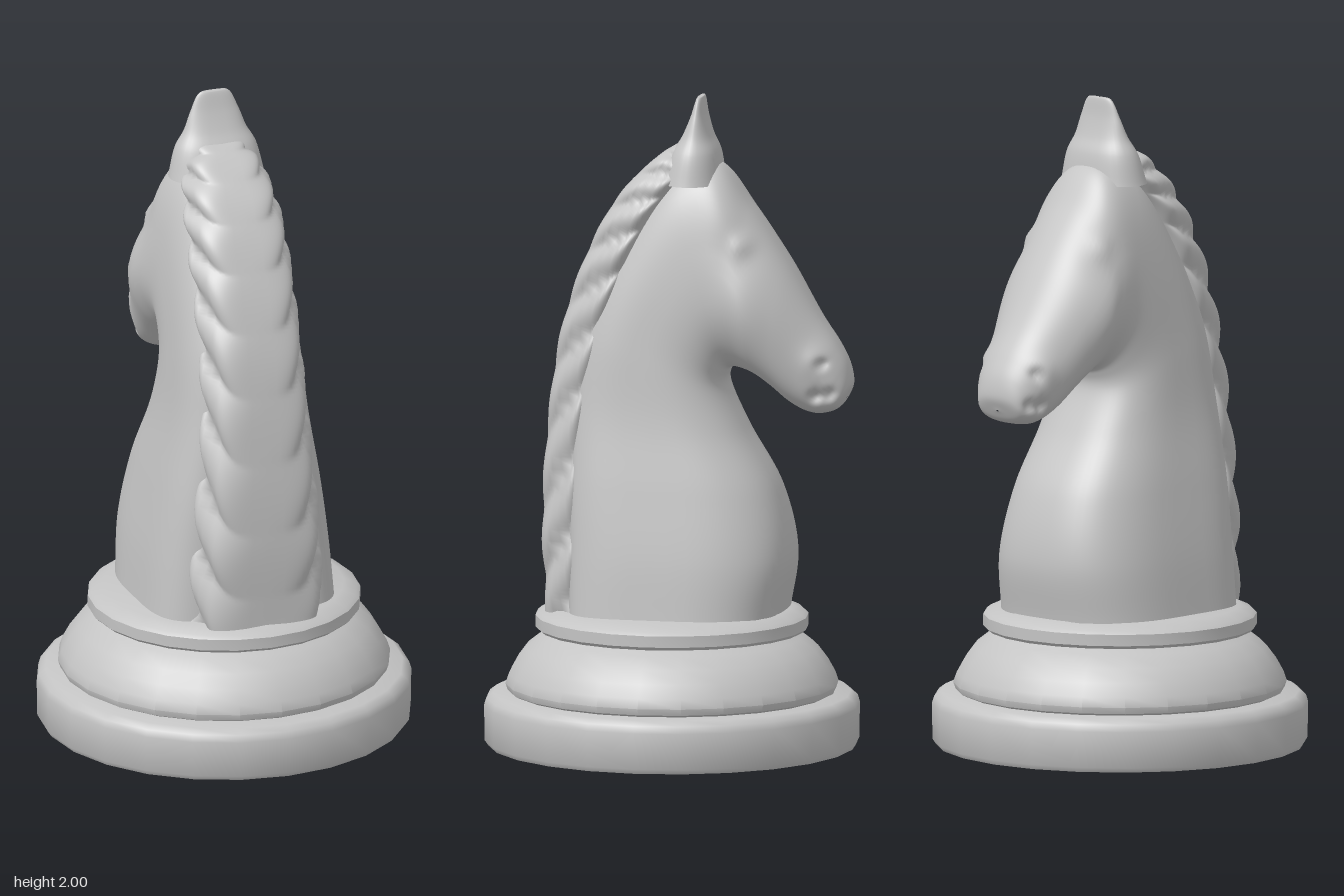
import * as THREE from 'three';
import { toCreasedNormals } from 'three/addons/utils/BufferGeometryUtils.js';

// signed power, used for squarish cross-sections
const spow = (v, e) => Math.sign(v) * Math.pow(Math.abs(v), e);
const curve = (rows) => new THREE.CatmullRomCurve3(rows.map((r) => new THREE.Vector3(...r)));

// closed skin over rings; point(t, angle) returns [x, y, z]
function loft(rings, sides, point) {
  const pos = [], index = [];
  for (let i = 0; i <= rings; i++) {
    for (let j = 0; j < sides; j++) pos.push(...point(i / rings, (j / sides) * Math.PI * 2));
  }
  for (let i = 0; i < rings; i++) {
    for (let j = 0; j < sides; j++) {
      const a = i * sides + j, b = i * sides + ((j + 1) % sides);
      index.push(a, b, a + sides, b, b + sides, a + sides);
    }
  }
  const g = new THREE.BufferGeometry();
  g.setAttribute('position', new THREE.Float32BufferAttribute(pos, 3));
  g.setIndex(index);
  g.computeVertexNormals();
  return g;
}

// small swellings and hollows on the head: [y, z, radius, amount]
const FEATURES = [
  [1.36, -0.23, 0.13, 0.1], // cheek
  [1.56, -0.26, 0.08, -0.09], // eye socket
  [1.57, -0.25, 0.032, 0.12], // eyeball
  [1.22, -0.485, 0.045, 0.14], // nostril rim
  [1.205, -0.49, 0.018, -0.2], // nostril
  [1.105, -0.47, 0.02, -0.16], // mouth
  [1.11, -0.51, 0.02, -0.16],
];
const swell = (y, z) => FEATURES.reduce(
  (s, [fy, fz, r, a]) => s + a * Math.exp(-((y - fy) ** 2 + (z - fz) ** 2) / (r * r)), 1);

function bodyGeometry() {
  // back line, over the poll and down the face: half width, y, z
  const outer = curve([
    [0.3, 0.42, 0.29], [0.283, 0.6, 0.29], [0.25, 0.82, 0.29], [0.215, 1.05, 0.28],
    [0.198, 1.3, 0.24], [0.188, 1.55, 0.14], [0.182, 1.77, -0.02], [0.187, 1.8, -0.14],
    [0.192, 1.67, -0.25], [0.175, 1.51, -0.36], [0.145, 1.34, -0.46], [0.125, 1.25, -0.52],
    [0.11, 1.19, -0.55], [0.08, 1.135, -0.56], [0.004, 1.09, -0.545],
  ]);
  // chest, throat and jaw line: squareness of the back, y, z
  const inner = curve([
    [0.45, 0.42, -0.355], [0.45, 0.6, -0.38], [0.45, 0.8, -0.335], [0.5, 0.98, -0.235],
    [0.55, 1.11, -0.175], [0.65, 1.16, -0.18], [0.75, 1.175, -0.2], [0.8, 1.17, -0.23],
    [0.8, 1.155, -0.27], [0.8, 1.12, -0.32], [0.8, 1.07, -0.38], [0.8, 1.045, -0.43],
    [0.8, 1.04, -0.47], [0.8, 1.055, -0.52], [0.8, 1.086, -0.543],
  ]);
  return loft(140, 64, (t, a) => {
    const o = outer.getPoint(t), n = inner.getPoint(t);
    const c = Math.cos(a), e = c > 0 ? n.x : 0.75;
    const d = spow(c, e);
    const y = (o.y + n.y) / 2 + ((o.y - n.y) / 2) * d;
    const z = (o.z + n.z) / 2 + ((o.z - n.z) / 2) * d;
    const taper = 1 - Math.max(0, d) * (n.x - 0.45) * 0.5;
    const x = Math.max(0.002, o.x) * spow(Math.sin(a), e) * taper * swell(y, z);
    return [x, y, z];
  });
}

function maneGeometry() {
  // crest line: half width, y, z
  const crest = curve([
    [0.23, 0.42, 0.372], [0.215, 0.7, 0.385], [0.187, 1.0, 0.37], [0.173, 1.28, 0.33],
    [0.17, 1.52, 0.25], [0.162, 1.7, 0.15], [0.135, 1.82, 0.03], [0.09, 1.87, -0.06],
  ]);
  // line where the mane meets the neck
  const root = curve([
    [0, 0.42, 0.24], [0, 0.7, 0.24], [0, 1.0, 0.235], [0, 1.25, 0.19],
    [0, 1.47, 0.12], [0, 1.64, 0.04], [0, 1.75, -0.04], [0, 1.8, -0.1],
  ]);
  return loft(160, 48, (t, a) => {
    const o = crest.getPoint(t), n = root.getPoint(t);
    const s = spow(Math.sin(a), 0.5);
    let d = spow(Math.cos(a), 0.5);
    // slanted strands twisting along both edges
    const strand = Math.abs(Math.sin(Math.PI * (9.5 * t + 0.55 * d))) - 0.6;
    const x = o.x * s * (1 - 0.17 * (d + 1)) * (1 + 0.17 * strand);
    d += 0.14 * strand * s * s;
    return [x, (o.y + n.y) / 2 + ((o.y - n.y) / 2) * d, (o.z + n.z) / 2 + ((o.z - n.z) / 2) * d];
  });
}

function earGeometry() {
  // half width, y, half depth
  const rings = curve([
    [0.15, 1.74, 0.09], [0.128, 1.83, 0.068], [0.1, 1.88, 0.043],
    [0.077, 1.94, 0.022], [0.046, 1.997, 0.009], [0.001, 2.0, 0.001],
  ]);
  return loft(30, 32, (t, a) => {
    const r = rings.getPoint(t);
    return [r.x * spow(Math.sin(a), 0.7), Math.min(2, r.y), -0.07 - 0.08 * (r.y - 1.74) + r.z * Math.cos(a)];
  });
}

export function createModel() {
  const group = new THREE.Group();
  const stone = new THREE.MeshStandardMaterial({ color: 0xc4c4c4 });
  stone.name = 'light grey';

  const add = (name, geometry) => {
    const mesh = new THREE.Mesh(geometry, stone);
    mesh.name = name;
    group.add(mesh);
  };
  const turned = (name, profile) => add(name, toCreasedNormals(
    new THREE.LatheGeometry(profile.map(([r, y]) => new THREE.Vector2(r, y)), 24), 0.7));

  // turned base
  turned('foot', [[0, 0], [0.56, 0], [0.57, 0.015], [0.572, 0.125], [0.565, 0.147], [0.545, 0.162], [0.4, 0.165]]);
  turned('baseBulge', [[0.48, 0.16], [0.5, 0.17], [0.507, 0.19], [0.497, 0.22], [0.475, 0.26], [0.445, 0.3],
    [0.4, 0.335], [0.35, 0.36]]);
  turned('collar', [[0.3, 0.355], [0.405, 0.355], [0.416, 0.365], [0.416, 0.4], [0.405, 0.41], [0.365, 0.427], [0, 0.43]]);

  // horse
  add('neckAndHead', bodyGeometry());
  add('mane', maneGeometry());
  add('ears', earGeometry());
  return group;
}
